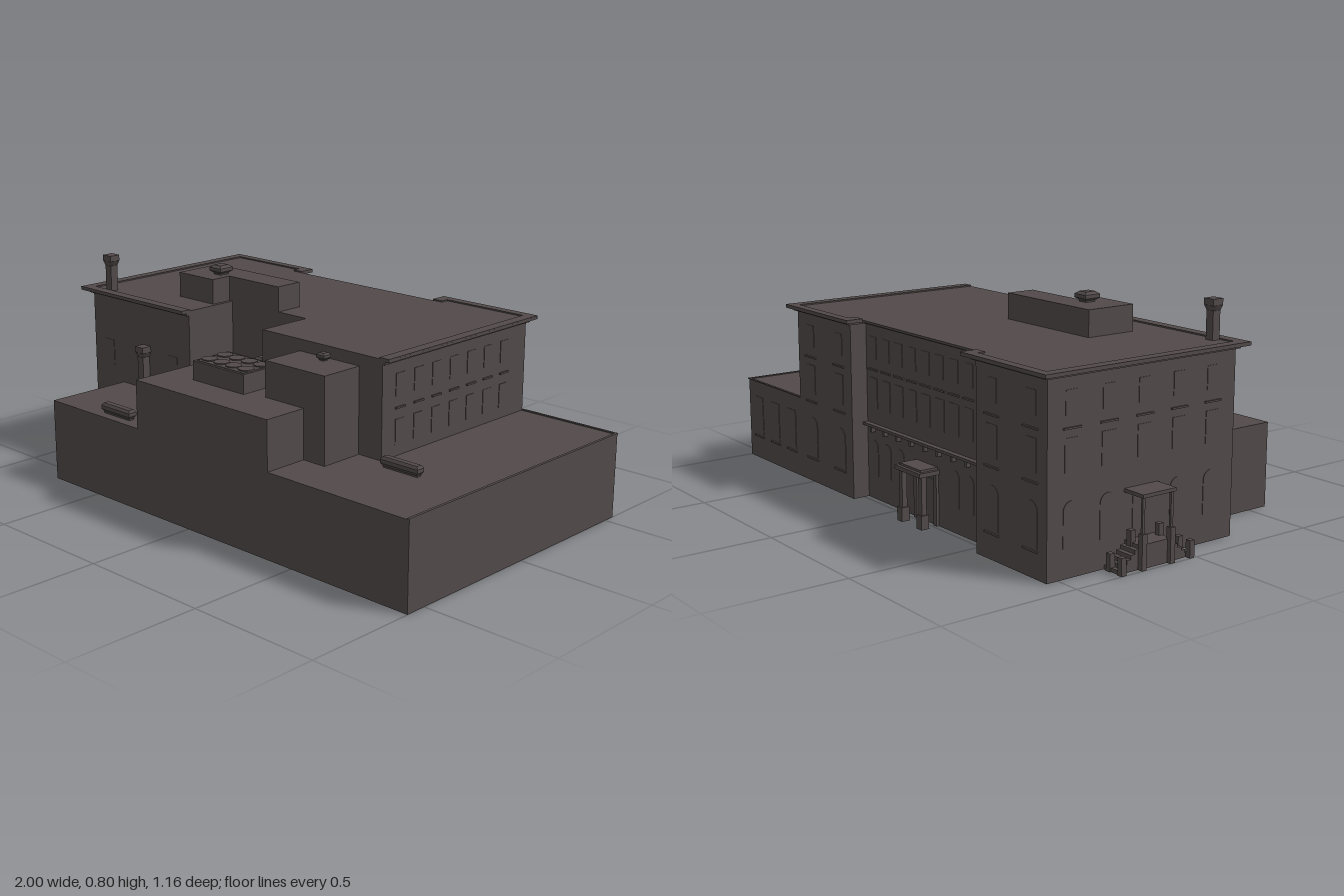
import * as THREE from 'three';

export function createModel() {
  const root = new THREE.Group();
  const stone = new THREE.MeshStandardMaterial({ color: 0x524a4a, side: THREE.DoubleSide });
  stone.name = 'dark brown stone';

  const add = (name, geo, parent = root) => {
    const m = new THREE.Mesh(geo, stone);
    m.name = name;
    parent.add(m);
    return m;
  };
  const plan = (pts) => new THREE.Shape(pts.map(([x, z]) => new THREE.Vector2(x, -z)));
  const rect = (x0, x1, z0, z1) => [[x0, z1], [x1, z1], [x1, z0], [x0, z0]];
  // upright wall strip along a plan polyline
  const wall = (name, pts, y0, y1) => {
    const pos = [];
    for (let i = 0; i + 1 < pts.length; i++) {
      const [ax, az] = pts[i], [bx, bz] = pts[i + 1];
      pos.push(ax, y0, az, bx, y0, bz, bx, y1, bz, ax, y0, az, bx, y1, bz, ax, y1, az);
    }
    const g = new THREE.BufferGeometry();
    g.setAttribute('position', new THREE.Float32BufferAttribute(pos, 3));
    g.computeVertexNormals();
    return add(name, g);
  };
  // flat deck
  const deck = (name, pts, y) =>
    add(name, new THREE.ShapeGeometry(plan(pts)).rotateX(-Math.PI / 2).translate(0, y, 0));
  // solid prism over a plan outline
  const prism = (name, pts, y0, y1) =>
    add(name, new THREE.ExtrudeGeometry(plan(pts), { depth: y1 - y0, bevelEnabled: false })
      .rotateX(-Math.PI / 2).translate(0, y0, 0));
  const box = (name, x0, x1, y0, y1, z0, z1) =>
    add(name, new THREE.BoxGeometry(x1 - x0, y1 - y0, z1 - z0)
      .translate((x0 + x1) / 2, (y0 + y1) / 2, (z0 + z1) / 2));

  // low annex and front range, hollow underneath
  const L = 0.31, M = 0.49, H = 0.65;
  wall('annexWall', [[-0.745, 0.24], [-0.745, 0.58], [1, 0.58], [1, -0.545], [0.59, -0.545]], 0, L);
  deck('annexRoof', [[0.395, 0.58], [1, 0.58], [1, -0.545], [0.59, -0.545], [0.59, 0.24], [0.395, 0.24]], L);
  deck('frontLeftRoof', rect(-0.745, -0.26, 0.24, 0.58), L);
  box('annexSideRim', 0.99, 1, L, L + 0.004, -0.55, 0.58);
  box('annexBackRim', 0.59, 1, L, L + 0.004, -0.55, -0.54);

  // raised middle range
  wall('middleWall', [[-0.26, 0.24], [-0.26, 0.58], [0.395, 0.58], [0.395, 0.24]], L, M);
  deck('middleRoof', [[-0.26, 0.58], [0.395, 0.58], [0.395, 0.24], [0.03, 0.24], [0.03, 0.02],
    [-0.165, 0.02], [-0.165, 0.24], [-0.26, 0.24]], M);

  // main block
  wall('mainBackWall', [[0.59, -0.545], [0.215, -0.545], [0.215, -0.48], [-0.545, -0.48], [-0.545, -0.545],
    [-0.91, -0.545], [-0.91, 0.24], [-0.745, 0.24]], 0, H);
  wall('mainSideWall', [[0.395, 0.24], [0.59, 0.24], [0.59, -0.545]], L, H);
  wall('mainFrontLeftWall', [[-0.745, 0.24], [-0.355, 0.24]], L, H);
  wall('mainFrontRightWall', [[-0.165, 0.02], [0.03, 0.02], [0.03, 0.24], [0.395, 0.24]], M, H);

  // open light court
  wall('courtTallWall', [[-0.355, 0.24], [-0.355, 0.02], [-0.165, 0.02]], 0, H);
  wall('courtSideWall', [[-0.165, 0.02], [-0.165, 0.24]], 0, M);
  wall('courtFrontLeftWall', [[-0.26, 0.24], [-0.355, 0.24]], 0, L);
  wall('courtFrontRightWall', [[-0.165, 0.24], [-0.26, 0.24]], 0, M);

  // overhanging roof: o is the depth of the eaves
  const eaves = (o) => [[-0.91 - o, 0.24 + o], [-0.355, 0.24 + o], [-0.355, 0.02], [0.03, 0.02], [0.03, 0.24],
    [0.59 + o * 0.75, 0.24], [0.59 + o * 0.75, -0.545 - o], [0.215 - o, -0.545 - o], [0.215 - o, -0.48 - o],
    [-0.545 + o, -0.48 - o], [-0.545 + o, -0.545 - o], [-0.91 - o, -0.545 - o]];
  prism('cornice', eaves(0.012), 0.643, 0.653);
  prism('roofSlab', eaves(0.035), 0.653, 0.661);
  prism('roofRimRight', [[-0.945, -0.58], [-0.51, -0.58], [-0.51, -0.515], [-0.555, -0.515], [-0.555, -0.545],
    [-0.905, -0.545], [-0.905, 0.235], [-0.355, 0.235], [-0.355, 0.275], [-0.945, 0.275]], 0.661, 0.666);
  prism('roofRimLeft', [[0.18, -0.515], [0.18, -0.58], [0.616, -0.58], [0.616, 0.24], [0.575, 0.24],
    [0.575, -0.545], [0.225, -0.545], [0.225, -0.515]], 0.661, 0.666);

  // rooftop rooms
  prism('penthouse', [[-0.555, 0.105], [-0.37, 0.105], [-0.37, 0.02], [-0.11, 0.02], [-0.11, -0.09],
    [-0.555, -0.09]], 0.66, 0.755);
  box('stairHouse', 0.215, 0.49, L, 0.62, 0.243, 0.41);
  box('coolingUnit', -0.115, 0.14, M, 0.56, 0.27, 0.44);
  box('coolingUnitTray', -0.105, 0.13, 0.56, 0.562, 0.28, 0.43);
  for (let i = 0; i < 8; i++) {
    add('coolingFan', new THREE.CylinderGeometry(0.029, 0.029, 0.006, 20))
      .position.set(-0.08 + (i % 4) * 0.061, 0.563, i < 4 ? 0.318 : 0.391);
  }

  // roof vents: a narrow neck under a chamfered cap
  const vent = (x, z, y, w, d, h) => {
    const c = Math.min(w, d) * 0.2;
    box('ventNeck', x - w / 2 + c, x + w / 2 - c, y, y + h * 0.3, z - d / 2 + c, z + d / 2 - c);
    [[0.15, 0.4, c, 0], [0.4, 0.75, 0, 0], [0.75, 1, 0, c]].forEach(([a, b, lo, hi]) => {
      const g = new THREE.BoxGeometry(1, h * (b - a), 1), p = g.attributes.position;
      for (let i = 0; i < p.count; i++) {
        const inset = p.getY(i) < 0 ? lo : hi;
        p.setX(i, Math.sign(p.getX(i)) * (w / 2 - inset));
        p.setZ(i, Math.sign(p.getZ(i)) * (d / 2 - inset));
      }
      g.computeVertexNormals();
      add('ventCap', g).position.set(x, y + h * (a + b) / 2, z);
    });
  };
  vent(-0.42, 0.015, 0.755, 0.06, 0.065, 0.036);
  vent(-0.42, 0.532, L, 0.156, 0.036, 0.038);
  vent(0.705, 0.27, L, 0.16, 0.034, 0.038);
  vent(0.355, 0.272, 0.62, 0.036, 0.036, 0.027);
  vent(-0.07, 0.105, M, 0.04, 0.036, 0.035);
  vent(-0.07, 0.147, M, 0.04, 0.036, 0.035);

  // chimneys with flared heads
  const chimney = (x, z, y0, y1) => {
    box('chimneyShaft', x - 0.016, x + 0.016, y0, y1 - 0.04, z - 0.016, z + 0.016);
    add('chimneyFlare', new THREE.CylinderGeometry(0.031, 0.0226, 0.018, 4).rotateY(Math.PI / 4))
      .position.set(x, y1 - 0.031, z);
    box('chimneyHead', x - 0.022, x + 0.022, y1 - 0.022, y1, z - 0.022, z + 0.022);
  };
  chimney(-0.825, 0.217, 0.66, 0.8);
  chimney(-0.6, 0.258, L, 0.485);

  // facades: local x runs along the wall, local z points out of it
  const facade = (name, x, z, turn) => {
    const g = new THREE.Group();
    g.name = name;
    g.position.set(x, 0, z);
    g.rotation.y = turn;
    root.add(g);
    return g;
  };
  const pane = (f, u, y0, y1, w, arched) => {
    const s = new THREE.Shape(), r = w / 2, top = arched ? y1 - r : y1;
    s.moveTo(-r, y0).lineTo(r, y0).lineTo(r, top);
    if (arched) s.absarc(0, top, r, 0, Math.PI);
    else s.lineTo(-r, top);
    s.closePath();
    add(arched ? 'archedWindow' : 'window',
      new THREE.ExtrudeGeometry(s, { depth: 0.002, bevelEnabled: false, curveSegments: 8 }), f).position.x = u;
  };
  const sill = (f, u, y, w) =>
    add('windowSill', new THREE.BoxGeometry(w, 0.006, 0.007).translate(u, y, 0.003), f);
  const row = (n, a, b, fn) => {
    for (let i = 0; i < n; i++) fn(n > 1 ? a + (b - a) * i / (n - 1) : a);
  };
  const q = Math.PI / 2;
  const annexSide = facade('annexSideFacade', 0.998, 0, q);
  row(5, -0.16, 0.405, (u) => pane(annexSide, u, 0.08, 0.24, 0.072, true));
  const upperSide = facade('upperSideFacade', 0.59, 0, q);
  row(7, -0.15, 0.42, (u) => {
    pane(upperSide, u, 0.35, 0.44, 0.045);
    pane(upperSide, u, 0.52, 0.6, 0.045);
    sill(upperSide, u, 0.48, 0.05);
  });
  const annexBack = facade('annexBackFacade', 0, -0.545, 2 * q);
  row(3, -0.66, -0.92, (u) => {
    pane(annexBack, u, 0.1, 0.25, 0.06);
    sill(annexBack, u, 0.09, 0.07);
  });
  for (const [a, b] of [[-0.3, -0.5], [0.63, 0.83]]) {
    row(2, a, b, (u) => {
      pane(annexBack, u, 0.1, 0.25, 0.07, true);
      pane(annexBack, u, 0.34, 0.45, 0.055);
      pane(annexBack, u, 0.52, 0.6, 0.05);
      [0.09, 0.31, 0.48].forEach((y) => sill(annexBack, u, y, 0.075));
    });
  }
  const side = facade('rightFacade', -0.91, 0, -q);
  row(5, -0.45, 0.14, (u) => {
    if (Math.abs(u + 0.16) > 0.05) pane(side, u, 0.1, 0.25, 0.065, true);
    pane(side, u, 0.34, 0.45, 0.055);
    pane(side, u, 0.52, 0.6, 0.05);
    sill(side, u, 0.48, 0.07);
  });
  const front = facade('upperFrontFacade', 0, 0.24, 0);
  row(3, -0.82, -0.45, (u) => pane(front, u, 0.37, 0.47, 0.05));

  // recessed centre of the back, with a bracketed ledge
  const centre = facade('centreBackFacade', 0, -0.48, 2 * q);
  row(9, -0.17, 0.5, (u) => {
    pane(centre, u, 0.34, 0.45, 0.05);
    pane(centre, u, 0.52, 0.6, 0.045);
    sill(centre, u, 0.48, 0.06);
    add('ledgeBracket', new THREE.BoxGeometry(0.012, 0.02, 0.016).translate(u, 0.262, 0.008), centre);
    if (Math.abs(u - 0.165) > 0.1) pane(centre, u, 0.09, 0.22, 0.05, true);
  });
  box('backLedge', -0.545, 0.215, 0.272, 0.282, -0.5, -0.48);

  // back entrance porch
  box('backCanopy', -0.242, -0.088, 0.185, 0.2, -0.562, -0.48);
  box('backCanopyTop', -0.23, -0.1, 0.2, 0.208, -0.55, -0.48);
  for (const x of [-0.225, -0.105]) {
    box('porchPost', x - 0.01, x + 0.01, 0, 0.185, -0.55, -0.53);
    box('porchPostBase', x - 0.015, x + 0.015, 0, 0.05, -0.556, -0.524);
    box('porchPilaster', x - 0.01, x + 0.01, 0, 0.185, -0.49, -0.48);
  }
  pane(centre, 0.165, 0, 0.16, 0.08);

  // side entrance with a canopy and two flights of steps
  box('sideCanopy', -1, -0.91, 0.238, 0.25, -0.235, -0.095);
  box('sideLanding', -0.985, -0.91, 0, 0.08, -0.23, -0.1);
  for (const s of [-1, 1]) {
    const zc = -0.165;
    for (let i = 0; i < 5; i++) {
      const a = zc + s * (0.065 + i * 0.017), b = a + s * 0.017;
      box('sideStep', -0.98, -0.91, 0, 0.067 - i * 0.0134, Math.min(a, b), Math.max(a, b));
    }
    for (const x of [-0.99, -0.935]) {
      const z = zc + s * 0.06;
      box('landingPier', x - 0.01, x + 0.01, 0, 0.12, z - 0.01, z + 0.01);
      box('stairFootPier', x - 0.01, x + 0.01, 0, 0.06, zc + s * 0.145 - 0.01, zc + s * 0.145 + 0.01);
    }
    box('canopyPost', -0.993, -0.985, 0.12, 0.238, zc + s * 0.06 - 0.005, zc + s * 0.06 + 0.005);
  }
  pane(side, -0.165, 0.08, 0.22, 0.07);
  return root;
}
